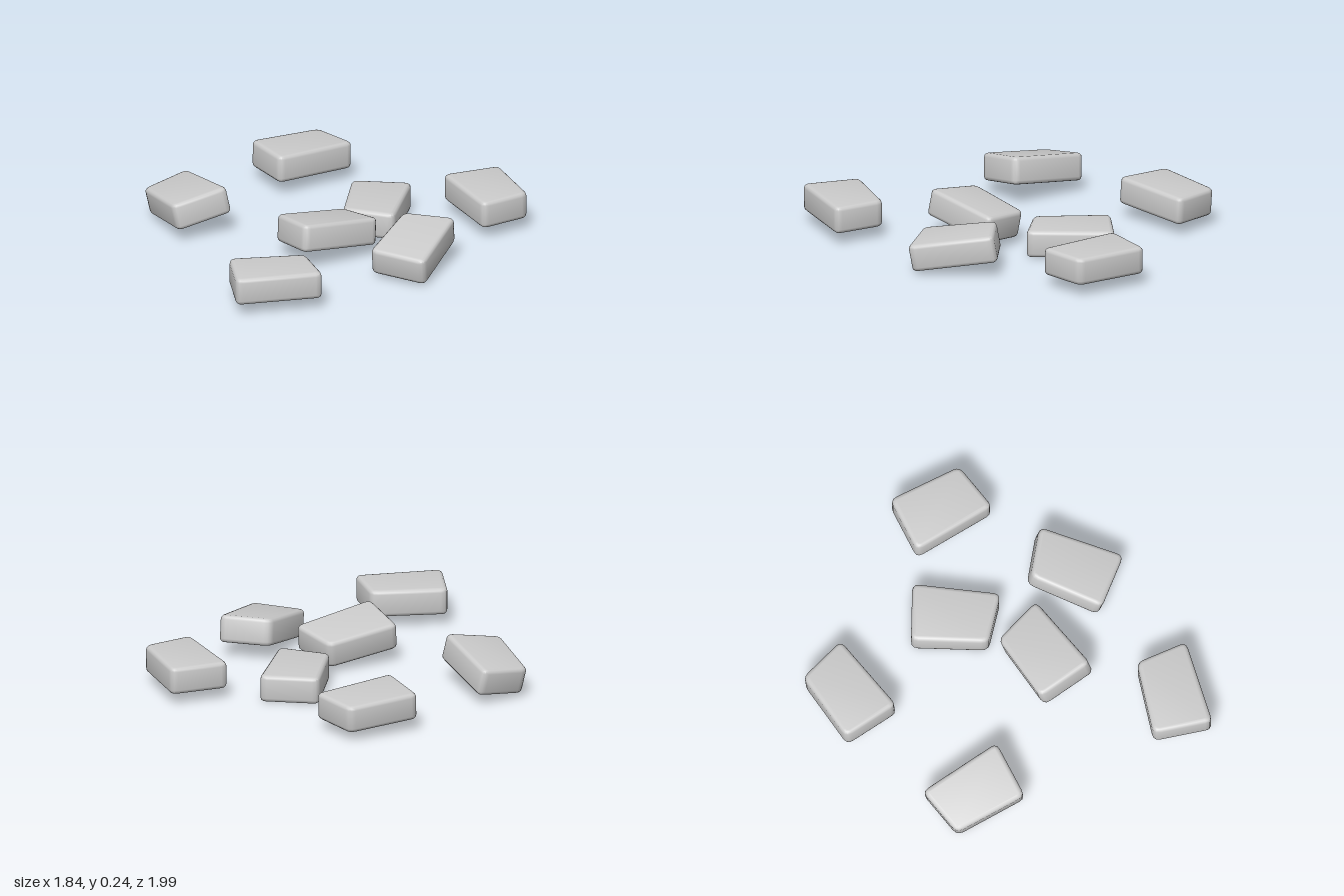
import * as THREE from 'three';
import { toCreasedNormals } from 'three/addons/utils/BufferGeometryUtils.js';

const THICKNESS = 0.135, BEVEL = 0.02, TRIM = 0.035;

// Slightly skewed slab with rounded corners and bevelled rims
function stoneGeometry() {
  const corners = [[-0.195, -0.147], [0.182, -0.13], [0.222, 0.13], [-0.211, 0.147]]
    .map(([x, y]) => new THREE.Vector2(x, y));
  const shape = new THREE.Shape();
  corners.forEach((c, i) => {
    const toward = (o) => o.clone().sub(c).setLength(TRIM).add(c);
    const a = toward(corners[(i + 3) % 4]), b = toward(corners[(i + 1) % 4]);
    if (i === 0) shape.moveTo(a.x, a.y);
    else shape.lineTo(a.x, a.y);
    shape.quadraticCurveTo(c.x, c.y, b.x, b.y);
  });
  shape.closePath();
  const depth = THICKNESS - 2 * BEVEL;
  const geo = new THREE.ExtrudeGeometry(shape, {
    depth, curveSegments: 3, bevelEnabled: true, bevelSegments: 3,
    bevelSize: BEVEL, bevelOffset: -BEVEL, bevelThickness: BEVEL,
  });
  geo.translate(0, 0, -depth / 2);
  geo.rotateX(Math.PI / 2);
  return toCreasedNormals(geo, 0.7);
}

// Scattered stones: centre, yaw, slope along x and z, turned upside down or not
const STONES = [
  { name: 'backLeftStone', at: [-0.285, 0.128, -0.785], yaw: 0.761, slope: [0, 0.055] },
  { name: 'backRightStone', at: [0.718, 0.1275, -0.454], yaw: -0.934, slope: [0, 0] },
  { name: 'backMiddleStone', at: [0.183, 0.07, -0.322], yaw: -1.526, slope: [0, 0], flip: true },
  { name: 'sideStone', at: [-0.715, 0.13, -0.103], yaw: 2.233, slope: [0.225, 0] },
  { name: 'centreStone', at: [0.033, 0.134, 0.137], yaw: 0.757, slope: [0, 0.178] },
  { name: 'frontRightStone', at: [0.488, 0.118, 0.222], yaw: 1.373, slope: [0, -0.18] },
  { name: 'frontStone', at: [-0.09, 0.1275, 0.785], yaw: 0.387, slope: [0, 0] },
];

export function createModel() {
  const group = new THREE.Group();
  group.name = 'scatteredStones';
  const geometry = stoneGeometry();
  const material = new THREE.MeshStandardMaterial({ color: 0xcccccc });
  const up = new THREE.Vector3(0, 1, 0);
  for (const { name, at, yaw, slope, flip } of STONES) {
    const stone = new THREE.Mesh(geometry, material);
    stone.name = name;
    stone.position.set(...at);
    const normal = new THREE.Vector3(-slope[0], 1, -slope[1]).normalize();
    stone.quaternion.setFromUnitVectors(up, normal);
    stone.rotateY(yaw);
    if (flip) stone.rotateX(Math.PI);
    group.add(stone);
  }
  return group;
}
